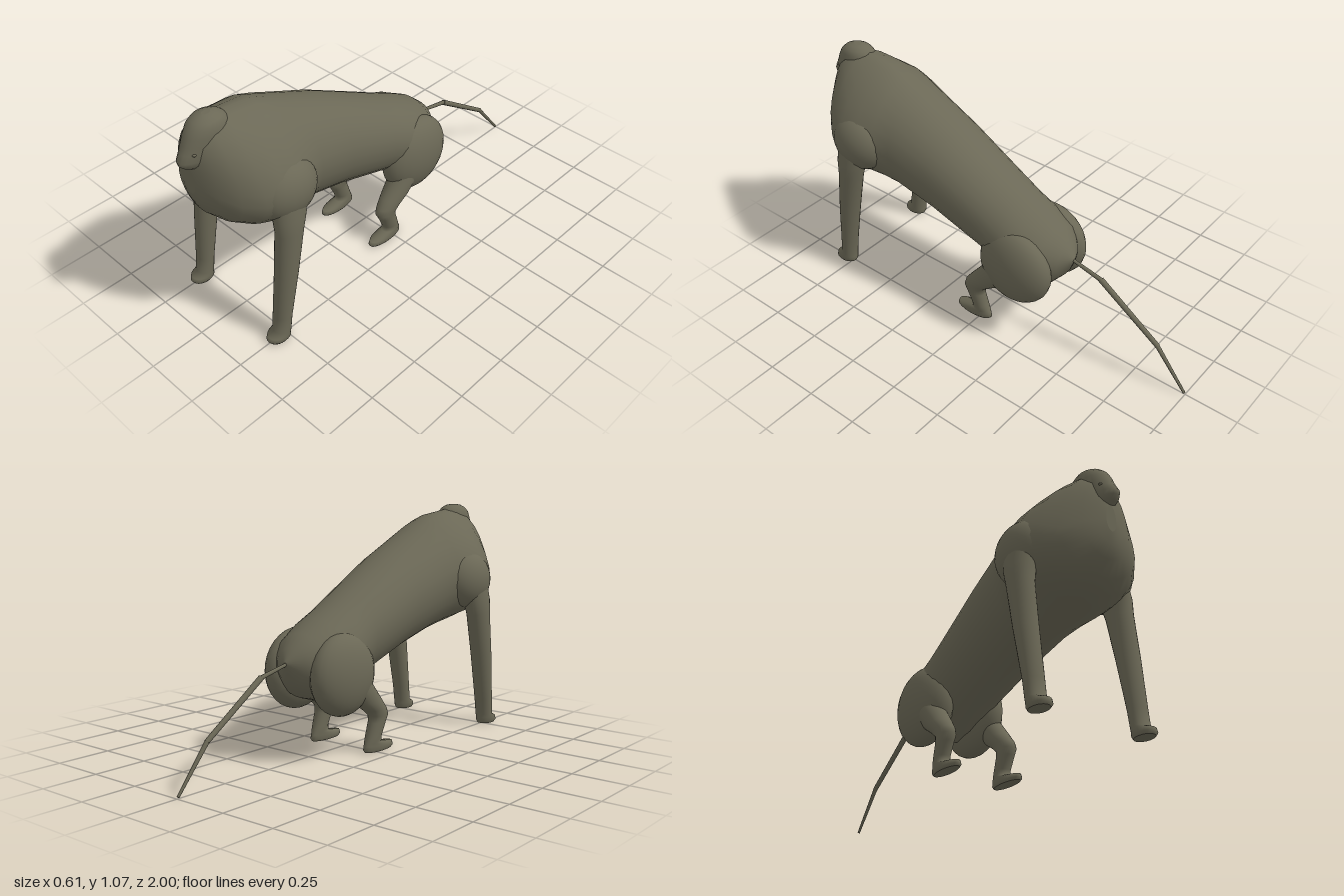
import * as THREE from 'three';

const SEG = 28;

// Skin a stack of closed rings, closing both ends
function loft(rings) {
  const n = rings[0].length, pos = [], idx = [];
  const centre = (r) => r.reduce((s, p) => s.add(p), new THREE.Vector3()).divideScalar(n);
  rings.forEach((r) => r.forEach((p) => pos.push(p.x, p.y, p.z)));
  for (let i = 0; i < rings.length - 1; i++) {
    for (let j = 0; j < n; j++) {
      const a = i * n + j, b = i * n + (j + 1) % n;
      idx.push(a, b, b + n, a, b + n, a + n);
    }
  }
  // Caps use their own vertices so the rim stays crisp
  [rings[0], rings[rings.length - 1]].forEach((r, end) => {
    const base = pos.length / 3;
    r.forEach((p) => pos.push(p.x, p.y, p.z));
    const c = centre(r);
    pos.push(c.x, c.y, c.z);
    for (let j = 0; j < n; j++) {
      const a = base + j, b = base + (j + 1) % n;
      if (end) idx.push(a, b, base + n);
      else idx.push(b, a, base + n);
    }
  });
  const g = new THREE.BufferGeometry();
  g.setAttribute('position', new THREE.Float32BufferAttribute(pos, 3));
  g.setIndex(idx);
  g.computeVertexNormals();
  return g;
}

const ring = (fn) => Array.from({ length: SEG }, (_, j) => fn((j / SEG) * Math.PI * 2));

// Horizontal ellipses listed upwards: [y, x, z, rx, rz]
const column = (rows) => loft(rows.map(([y, x, z, rx, rz]) =>
  ring((t) => new THREE.Vector3(x + rx * Math.cos(t), y, z - rz * Math.sin(t)))));

const spow = (v, p) => Math.sign(v) * Math.abs(v) ** p;

// Upright body sections from rump to chest: [z, top, bottom, half width, widest y, ridge]
const BODY = [
  [-0.395, 0.44, 0.42, 0.01, 0.43, 1],
  [-0.36, 0.495, 0.34, 0.08, 0.42, 1],
  [-0.3, 0.55, 0.27, 0.15, 0.41, 1],
  [-0.2, 0.605, 0.24, 0.19, 0.42, 1],
  [-0.1, 0.655, 0.26, 0.187, 0.46, 1],
  [0, 0.71, 0.315, 0.186, 0.52, 1],
  [0.28, 0.86, 0.41, 0.205, 0.64, 1],
  [0.48, 0.95, 0.465, 0.225, 0.71, 1.05],
  [0.56, 0.99, 0.485, 0.25, 0.73, 1.15],
  [0.64, 1.025, 0.503, 0.28, 0.73, 1.25],
  [0.72, 1.036, 0.522, 0.29, 0.72, 1.3],
  [0.8, 1.045, 0.543, 0.255, 0.72, 1.25],
  [0.87, 1.035, 0.582, 0.195, 0.73, 1.15],
  [0.92, 0.99, 0.635, 0.12, 0.76, 1],
  [0.945, 0.93, 0.69, 0.06, 0.78, 1],
  [0.955, 0.86, 0.74, 0.025, 0.79, 1],
];

export function createModel() {
  const model = new THREE.Group();
  const hide = new THREE.MeshStandardMaterial({ color: 0x6b6856 });
  hide.name = 'olive hide';

  const add = (name, geo, parent = model) => {
    const m = new THREE.Mesh(geo, hide);
    m.name = name;
    parent.add(m);
    return m;
  };
  const ball = (name, p, r, parent) => {
    const g = new THREE.SphereGeometry(1, 24, 16);
    g.scale(...r);
    add(name, g, parent).position.set(...p);
  };

  // Torso, with a ridged back over the shoulders
  add('torso', loft(BODY.map(([z, top, bot, hw, yc, p]) => ring((t) => {
    const c = Math.cos(t), s = Math.sin(t);
    return s > 0
      ? new THREE.Vector3(hw * spow(c, p), yc + (top - yc) * spow(s, p), z)
      : new THREE.Vector3(hw * c, yc + (yc - bot) * s, z);
  }))));

  // Head: [y, front z, half width]
  add('head', column([
    [0.855, 0.945, 0.03], [0.875, 0.98, 0.05], [0.89, 0.995, 0.06], [0.91, 1, 0.064],
    [0.94, 0.983, 0.068], [0.97, 0.968, 0.07], [1, 0.955, 0.07], [1.03, 0.937, 0.066],
    [1.05, 0.915, 0.053], [1.062, 0.89, 0.033], [1.066, 0.87, 0.012],
  ].map(([y, front, hw]) => [y, 0, 0.85, hw, front - 0.85])));

  for (const side of [1, -1]) {
    const label = side > 0 ? 'left' : 'right';
    const group = (name) => {
      const g = new THREE.Group();
      g.name = label + name;
      model.add(g);
      return g;
    };

    ball(label + 'Eye', [side * 0.041, 0.943, 0.951], [0.008, 0.006, 0.008], model);

    // Long front leg with a small forward foot
    const front = group('FrontLeg');
    add('frontLeg', column([
      [0, 0.252, 0.79, 0.036, 0.05],
      [0.012, 0.252, 0.791, 0.044, 0.057],
      [0.03, 0.252, 0.788, 0.044, 0.054],
      [0.045, 0.252, 0.772, 0.042, 0.038],
      [0.12, 0.252, 0.763, 0.044, 0.038],
      [0.35, 0.255, 0.729, 0.05, 0.051],
      [0.55, 0.253, 0.699, 0.053, 0.063],
      [0.62, 0.248, 0.69, 0.058, 0.075],
      [0.72, 0.23, 0.68, 0.06, 0.08],
    ].map(([y, x, ...r]) => [y, side * x, ...r])), front);
    ball('shoulder', [side * 0.2, 0.715, 0.665], [0.107, 0.135, 0.145], front);

    // Crouched hind leg: foot, shin, bent knee and heavy haunch
    const hind = group('HindLeg');
    add('hindLeg', column([
      [0, 0.155, 0.042, 0.03, 0.088],
      [0.01, 0.155, 0.042, 0.037, 0.097],
      [0.028, 0.155, 0.04, 0.036, 0.092],
      [0.042, 0.155, 0.002, 0.033, 0.046],
      [0.07, 0.156, 0.006, 0.034, 0.041],
      [0.13, 0.157, 0.029, 0.037, 0.045],
      [0.16, 0.157, 0.037, 0.04, 0.053],
      [0.19, 0.156, 0.015, 0.044, 0.066],
      [0.23, 0.153, -0.03, 0.052, 0.08],
      [0.31, 0.148, -0.1, 0.06, 0.085],
      [0.38, 0.14, -0.12, 0.06, 0.08],
    ].map(([y, x, ...r]) => [y, side * x, ...r])), hind);
    ball('haunch', [side * 0.13, 0.37, -0.175], [0.096, 0.182, 0.185], hind);
  }

  // Tail in three straight pieces
  const tail = new THREE.Group();
  tail.name = 'tail';
  model.add(tail);
  const joints = [[0.435, -0.36], [0.395, -0.54], [0.192, -0.84], [0.008, -0.993]]
    .map(([y, z]) => new THREE.Vector3(0, y, z));
  [[0.007, 0.01], [0.013, 0.011], [0.01, 0.006]].forEach(([r0, r1], i) => {
    const a = joints[i], d = joints[i + 1].clone().sub(a);
    const m = add('tailSegment', new THREE.CylinderGeometry(r1, r0, d.length() + 0.006, 8), tail);
    m.position.copy(a).addScaledVector(d, 0.5);
    m.quaternion.setFromUnitVectors(new THREE.Vector3(0, 1, 0), d.normalize());
  });

  return model;
}
